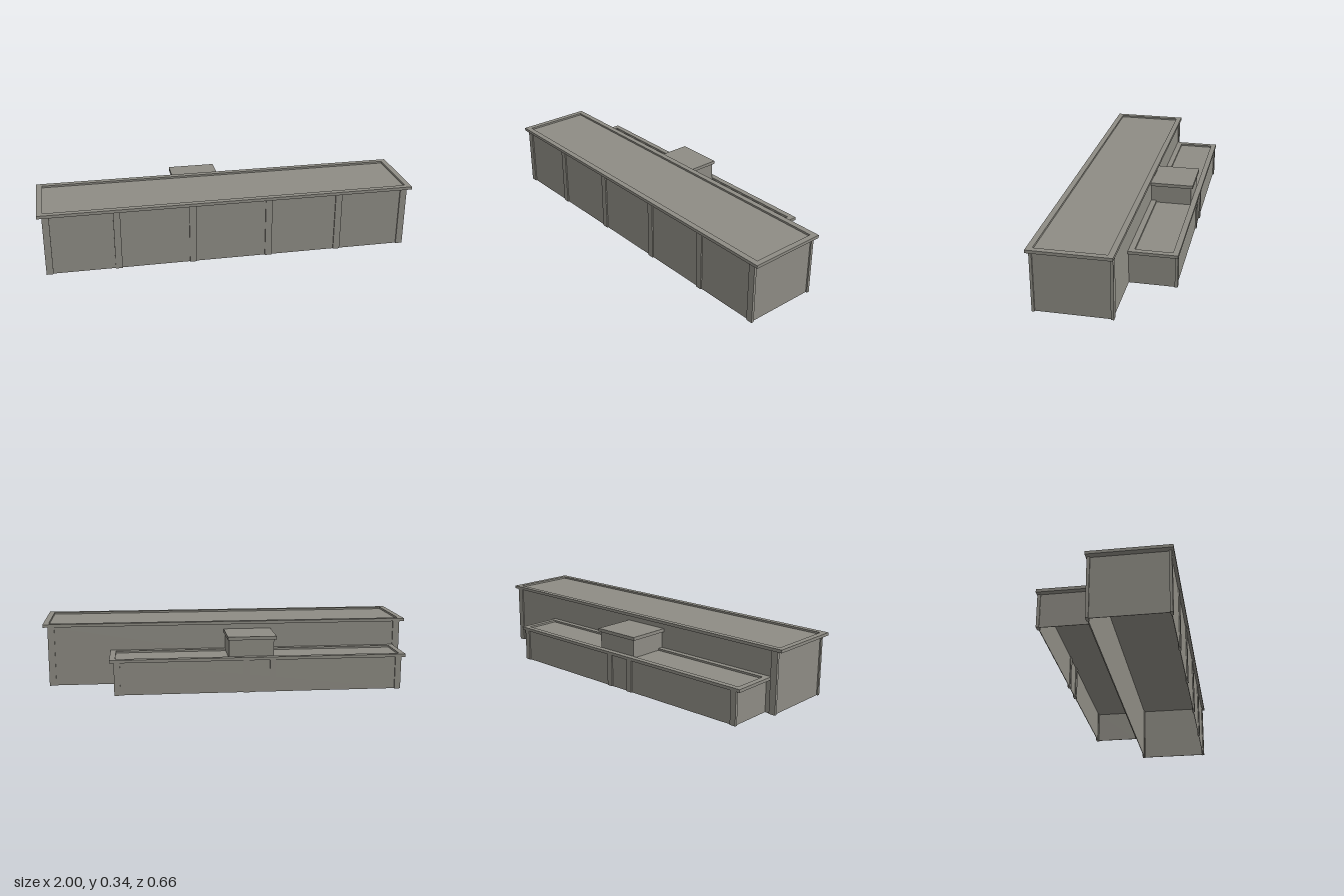
import * as THREE from 'three';

const concrete = new THREE.MeshStandardMaterial({ color: 0x8e8c84, side: THREE.DoubleSide });
concrete.name = 'grey concrete';

function add(group, name, geometry) {
  const mesh = new THREE.Mesh(geometry, concrete);
  mesh.name = name;
  group.add(mesh);
}

// Box given by its extents
function box(group, name, x0, x1, y0, y1, z0, z1) {
  const g = new THREE.BoxGeometry(x1 - x0, y1 - y0, z1 - z0);
  g.translate((x0 + x1) / 2, (y0 + y1) / 2, (z0 + z1) / 2);
  add(group, name, g);
}

// Hollow rectangular frame of wall thickness t, open above and below
function frame(group, name, x0, x1, y0, y1, z0, z1, t) {
  const rect = (Type, a, b, c, d) => new Type([
    new THREE.Vector2(a, -d), new THREE.Vector2(b, -d),
    new THREE.Vector2(b, -c), new THREE.Vector2(a, -c),
  ]);
  const shape = rect(THREE.Shape, x0, x1, z0, z1);
  shape.holes.push(rect(THREE.Path, x0 + t, x1 - t, z0 + t, z1 - t));
  const g = new THREE.ExtrudeGeometry(shape, { depth: y1 - y0, bevelEnabled: false });
  g.rotateX(-Math.PI / 2).translate(0, y0, 0);
  add(group, name, g);
}

// Raised rim around a slightly sunken flat roof
function roof(group, x0, x1, y0, y1, z0, z1) {
  const t = 0.03;
  frame(group, 'roofRim', x0, x1, y0, y1, z0, z1, t);
  box(group, 'roofDeck', x0 + t, x1 - t, y0, y0 + 0.006, z0 + t, z1 - t);
}

export function createModel() {
  const model = new THREE.Group();
  model.name = 'building';

  // Main hall
  const hall = new THREE.Group();
  hall.name = 'mainHall';
  frame(hall, 'hallWalls', -0.967, 0.967, 0, 0.326, -0.076, 0.313, 0.003);
  roof(hall, -1, 1, 0.325, 0.341, -0.088, 0.33);
  for (const x of [-0.957, -0.598, -0.202, 0.208, 0.593, 0.957])
    box(hall, 'frontPilaster', x - 0.018, x + 0.018, 0, 0.326, 0.306, 0.32);
  for (const x of [-0.957, 0.957])
    box(hall, 'backPilaster', x - 0.018, x + 0.018, 0, 0.326, -0.083, -0.068);

  // Low rear annex
  const annex = new THREE.Group();
  annex.name = 'rearAnnex';
  frame(annex, 'annexWalls', -0.912, 0.612, 0, 0.176, -0.32, -0.076, 0.003);
  roof(annex, -0.94, 0.64, 0.175, 0.191, -0.33, -0.077);
  for (const x of [-0.902, -0.222, -0.08, 0.602])
    box(annex, 'annexPilaster', x - 0.016, x + 0.016, 0, 0.176, -0.327, -0.312);

  // Small rooftop room against the hall
  const room = new THREE.Group();
  room.name = 'rooftopRoom';
  frame(room, 'roomWalls', -0.23, 0.01, 0.18, 0.281, -0.3, -0.077, 0.003);
  box(room, 'roomRoof', -0.242, 0.018, 0.28, 0.298, -0.31, -0.077);

  model.add(hall, annex, room);
  return model;
}
